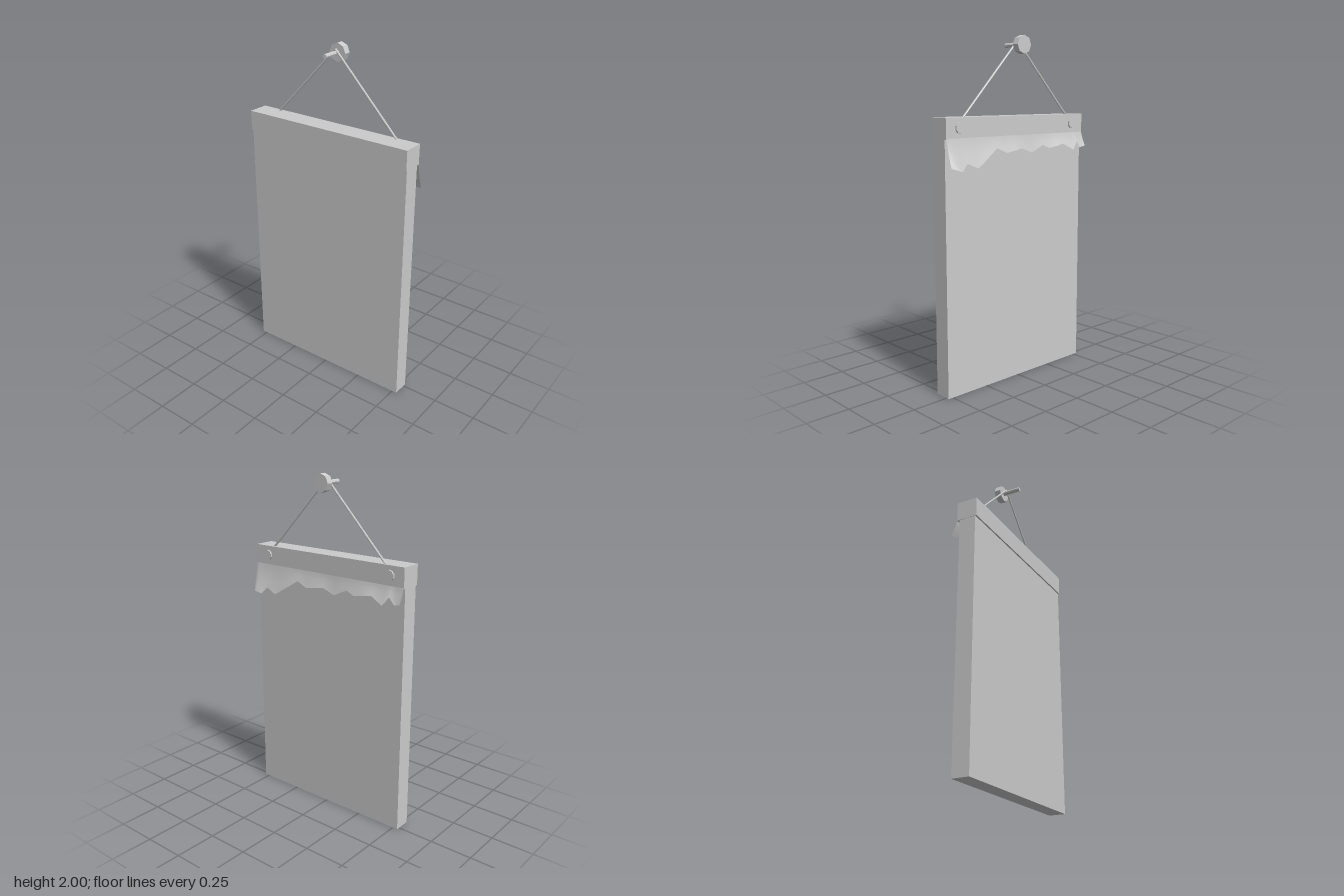
import * as THREE from 'three';

const grey = new THREE.MeshStandardMaterial({ color: 0xcccccc, flatShading: true });
const paper = new THREE.MeshStandardMaterial({ color: 0xcccccc, side: THREE.DoubleSide });

function add(group, name, geometry, x, y, z, material = grey) {
  const mesh = new THREE.Mesh(geometry, material);
  mesh.name = name;
  mesh.position.set(x, y, z);
  group.add(mesh);
  return mesh;
}

// Cylinder whose axis runs along z
function disc(radius, depth, sides) {
  return new THREE.CylinderGeometry(radius, radius, depth, sides).rotateX(Math.PI / 2);
}

// Torn remains of a page, curling away from the back of the binding
function tornSheet() {
  // x, y and z of the ragged lower edge
  const edge = [
    [-0.53, 1.36, -0.068], [-0.49, 1.35, -0.060], [-0.46, 1.39, -0.064], [-0.42, 1.34, -0.073],
    [-0.34, 1.38, -0.063], [-0.28, 1.37, -0.066], [-0.22, 1.36, -0.060], [-0.17, 1.38, -0.056],
    [-0.08, 1.34, -0.056], [0.00, 1.37, -0.056], [0.06, 1.36, -0.064], [0.12, 1.35, -0.061],
    [0.19, 1.38, -0.056], [0.30, 1.31, -0.075], [0.35, 1.28, -0.080], [0.42, 1.31, -0.073],
    [0.46, 1.27, -0.085], [0.50, 1.28, -0.095], [0.53, 1.29, -0.075],
  ];
  const rows = 5, pos = [], index = [];
  for (const [x, y, z] of edge) {
    for (let r = 0; r <= rows; r++) {
      const t = r / rows;
      pos.push(x, THREE.MathUtils.lerp(1.445, y, t), THREE.MathUtils.lerp(-0.036, z, t ** 1.3));
    }
  }
  for (let i = 0; i < edge.length - 1; i++) {
    for (let r = 0; r < rows; r++) {
      const a = i * (rows + 1) + r, b = a + rows + 1;
      index.push(a, b, a + 1, b, b + 1, a + 1);
    }
  }
  const geometry = new THREE.BufferGeometry();
  geometry.setAttribute('position', new THREE.Float32BufferAttribute(pos, 3));
  geometry.setIndex(index);
  geometry.computeVertexNormals();
  return geometry;
}

export function createModel() {
  const model = new THREE.Group();
  model.name = 'hangingPad';

  // Stack of pages and the strip binding its top edge
  add(model, 'pages', new THREE.BoxGeometry(1.06, 1.5, 0.1), 0, 0.75, 0.03);
  add(model, 'binding', new THREE.BoxGeometry(1.064, 0.115, 0.124), 0, 1.4975, 0.027);
  add(model, 'tornSheet', tornSheet(), 0, 0, 0, paper);

  // Rivets on the back and the two halves of the hanging string
  const peak = new THREE.Vector3(0, 1.972, -0.018);
  for (const side of [-1, 1]) {
    add(model, 'rivet', disc(0.031, 0.014, 10), side * 0.44, 1.5, -0.038);
    const end = new THREE.Vector3(side * 0.41, 1.545, -0.018);
    const path = new THREE.LineCurve3(end, peak);
    add(model, 'string', new THREE.TubeGeometry(path, 1, 0.006, 6), 0, 0, 0);
  }

  // Nail carrying the string
  const nail = new THREE.Group();
  nail.name = 'nail';
  add(nail, 'nailHead', disc(0.052, 0.04, 8), 0, 1.95, -0.055);
  add(nail, 'nailShaft', disc(0.013, 0.115, 8), 0, 1.95, 0.0195);
  model.add(nail);

  return model;
}
